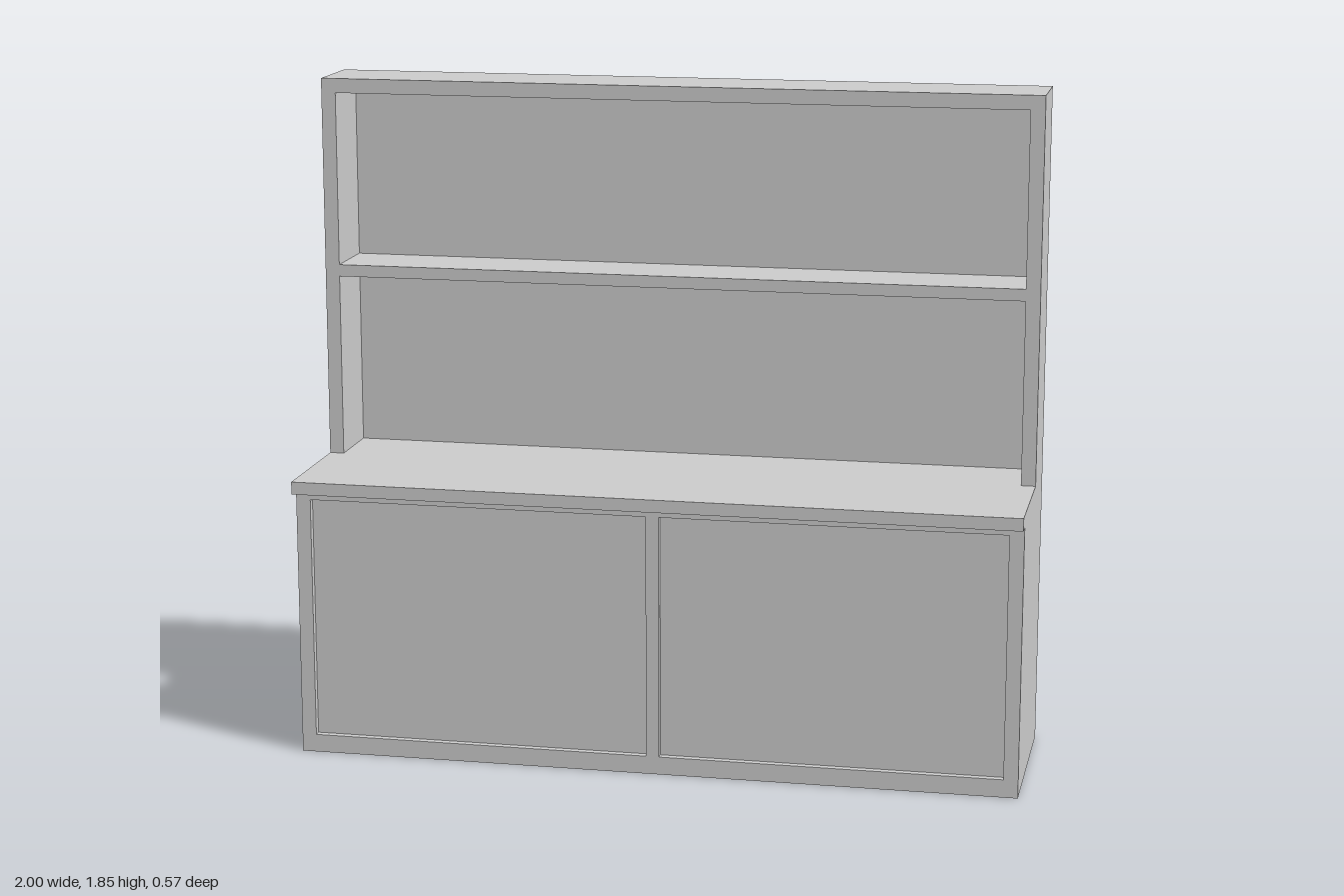
import * as THREE from 'three';

const material = new THREE.MeshStandardMaterial({ color: 0xcccccc });
const BACK = -0.285;

// Box given by its min and max along each axis
function box(name, [x0, x1], [y0, y1], [z0, z1]) {
  const geometry = new THREE.BoxGeometry(x1 - x0, y1 - y0, z1 - z0);
  geometry.translate((x0 + x1) / 2, (y0 + y1) / 2, (z0 + z1) / 2);
  const mesh = new THREE.Mesh(geometry, material);
  mesh.name = name;
  return mesh;
}

function rectangle(Type, [x0, x1], [y0, y1]) {
  return new Type([[x0, y0], [x1, y0], [x1, y1], [x0, y1]].map((p) => new THREE.Vector2(...p)));
}

// Upright frame with rectangular openings, running from z0 to z1
function frame(name, shape, openings, [z0, z1]) {
  for (const [x, y] of openings) shape.holes.push(rectangle(THREE.Path, x, y));
  const geometry = new THREE.ExtrudeGeometry(shape, { depth: z1 - z0, bevelEnabled: false });
  geometry.translate(0, 0, z0);
  const mesh = new THREE.Mesh(geometry, material);
  mesh.name = name;
  return mesh;
}

export function createModel() {
  const model = new THREE.Group();
  model.name = 'dresser';

  // Lower cupboard: carcass, face frame and two recessed doors
  const width = [-1, 1];
  const doorY = [0.05, 0.727];
  const doorXs = [[-0.96, -0.018], [0.018, 0.96]];
  model.add(box('cupboard', width, [0, 0.75], [BACK, 0.2]));
  model.add(frame('faceFrame', rectangle(THREE.Shape, width, [0, 0.75]),
    doorXs.map((x) => [x, doorY]), [0.2, 0.245]));
  doorXs.forEach((x, i) => model.add(box(i ? 'leftDoor' : 'rightDoor', x, doorY, [0.2, 0.225])));

  // Worktop overhanging the front
  model.add(box('worktop', width, [0.75, 0.785], [BACK, 0.285]));

  // Hutch: back panel, and sides with top and one shelf, open above the worktop
  model.add(box('backPanel', width, [0.785, 1.85], [BACK, -0.262]));
  const hutch = new THREE.Shape([
    [-1, 0.785], [-0.96, 0.785], [-0.96, 1.295], [0.96, 1.295],
    [0.96, 0.785], [1, 0.785], [1, 1.85], [-1, 1.85],
  ].map((p) => new THREE.Vector2(...p)));
  model.add(frame('hutch', hutch, [[[-0.96, 0.96], [1.328, 1.81]]], [-0.262, -0.07]));

  return model;
}
